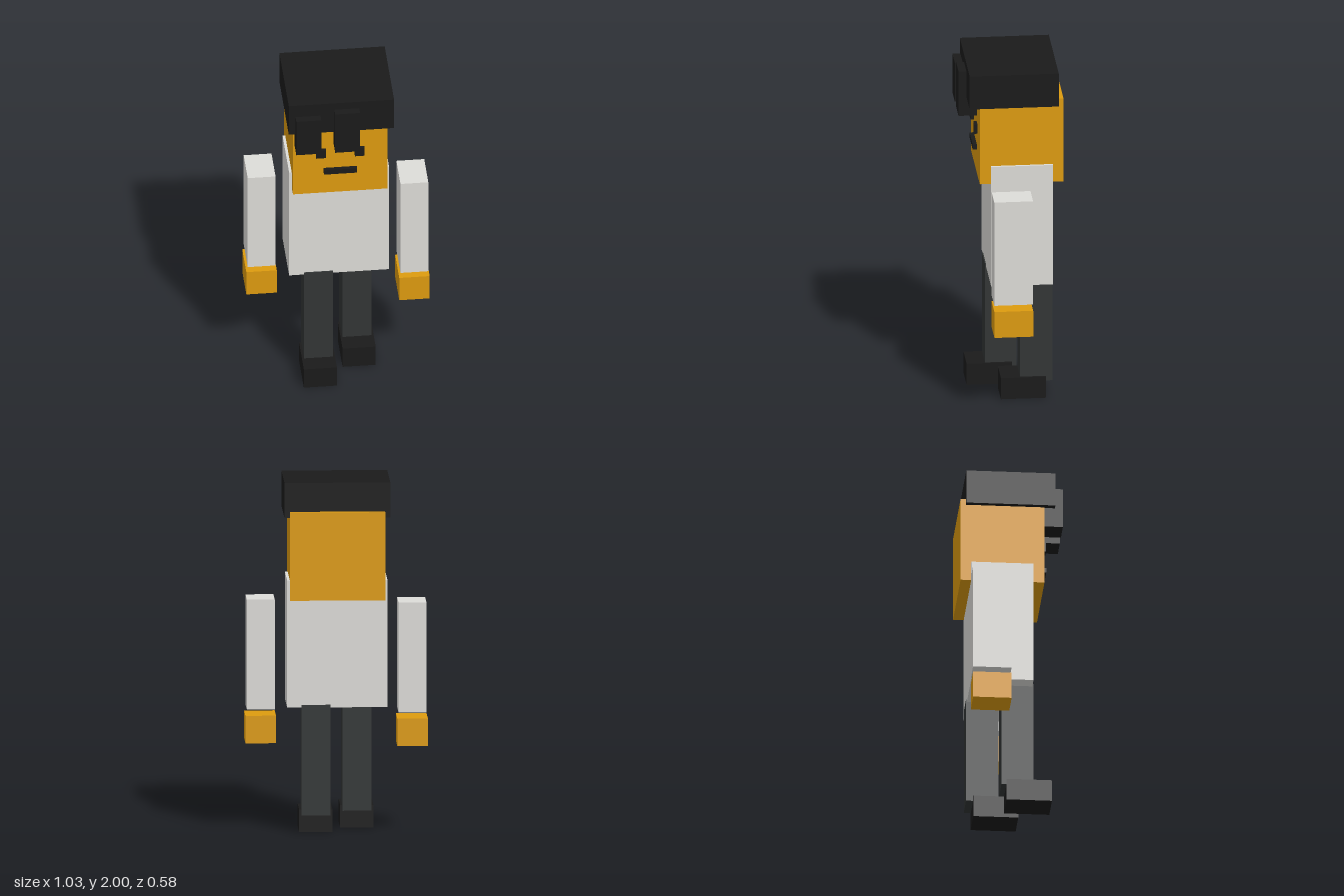
import * as THREE from 'three';

const material = (color) => new THREE.MeshStandardMaterial({ color, flatShading: true });

export function createModel() {
  const model = new THREE.Group();
  const skin = material(0xdd9b0f);
  const shirt = material(0xdddcd8);
  const trousers = material(0x323535);
  const black = material(0x1a1a1a);

  // Adds a block given its [min, max] extent on each axis
  function block(name, mat, [x0, x1], [y0, y1], [z0, z1], parent = model) {
    const mesh = new THREE.Mesh(new THREE.BoxGeometry(x1 - x0, y1 - y0, z1 - z0), mat);
    mesh.position.set((x0 + x1) / 2, (y0 + y1) / 2, (z0 + z1) / 2);
    mesh.name = name;
    parent.add(mesh);
  }

  // Head and face
  const head = new THREE.Group();
  head.name = 'head';
  model.add(head);
  block('face', skin, [-0.27, 0.267], [1.332, 1.835], [-0.29, 0.185], head);
  block('hair', black, [-0.3, 0.298], [1.8, 2], [-0.26, 0.245], head);
  block('rightFringe', black, [-0.262, -0.12], [1.685, 1.92], [0.17, 0.29], head);
  block('leftFringe', black, [-0.041, 0.1], [1.685, 1.955], [0.17, 0.29], head);
  block('rightEye', black, [-0.14, -0.084], [1.587, 1.642], [0.17, 0.204], head);
  block('leftEye', black, [0.08, 0.135], [1.587, 1.642], [0.17, 0.204], head);
  block('mouth', black, [-0.096, 0.092], [1.475, 1.505], [0.17, 0.209], head);

  // Torso
  block('torso', shirt, [-0.285, 0.282], [0.715, 1.44], [-0.23, 0.122]);

  // Limbs in mid-stride: opposite arm and leg swing forward
  for (const [side, s, armZ, legZ, shoeZ] of [
    ['left', 1, [-0.095, 0.125], [-0.235, -0.05], [-0.195, 0.06]],
    ['right', -1, [-0.238, -0.02], [-0.053, 0.128], [-0.025, 0.232]],
  ]) {
    const span = (a, b) => (s > 0 ? [a, b] : [-b, -a]);
    block(side + 'Sleeve', shirt, span(0.347, 0.505), [0.685, 1.312], armZ);
    block(side + 'Hand', skin, span(0.34, 0.513), [0.493, 0.65], armZ);
    block(side + 'Leg', trousers, span(0.036, 0.2), [0.1, 0.73], legZ);
    block(side + 'Shoe', black, span(0.025, 0.213), [0, 0.128], shoeZ);
  }

  return model;
}
